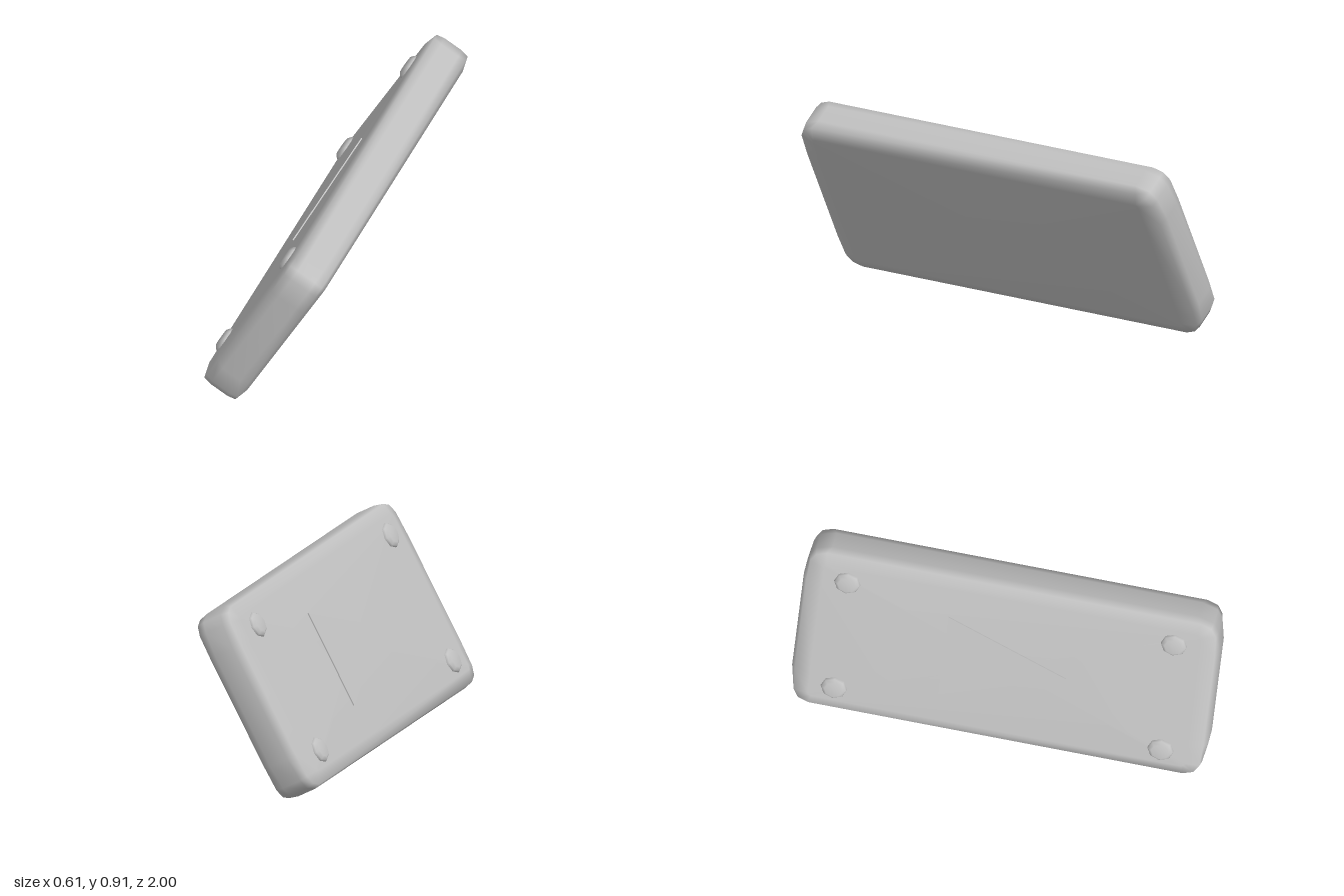
import * as THREE from 'three';

// Rounded slab: outlines stacked along y, each given by one mirrored quadrant of [x, z] points
function slabGeometry(levels) {
  const rings = levels.map(([y, q]) => {
    const r = [...q].reverse();
    return [
      ...q.map(([x, z]) => [x, y, z]),
      ...r.map(([x, z]) => [-x, y, z]),
      ...q.map(([x, z]) => [-x, y, -z]),
      ...r.map(([x, z]) => [x, y, -z]),
    ];
  });
  const n = rings[0].length;
  const last = rings.length - 1;
  const positions = rings.flat(2);
  const bottom = n * rings.length;
  const top = bottom + 1;
  positions.push(0, levels[0][0], 0, 0, levels[last][0], 0);

  const index = [];
  for (let i = 0; i < n; i++) {
    const k = (i + 1) % n;
    for (let j = 0; j < last; j++) {
      const a = j * n + i, b = j * n + k, c = a + n, d = b + n;
      index.push(a, c, b, b, c, d);
    }
    index.push(bottom, i, k, top, last * n + k, last * n + i);
  }
  const geometry = new THREE.BufferGeometry();
  geometry.setAttribute('position', new THREE.Float32BufferAttribute(positions, 3));
  geometry.setIndex(index);
  geometry.computeVertexNormals();
  return geometry;
}

export function createModel() {
  const model = new THREE.Group();
  model.name = 'tiltedSlab';
  const grey = new THREE.MeshStandardMaterial({ color: 0xc0c0c0 });
  grey.name = 'plain grey';

  // Everything is built lying flat, then leaned over
  const slab = new THREE.Group();
  slab.name = 'slab';
  slab.rotation.z = THREE.MathUtils.degToRad(61);
  slab.position.y = 0.455;
  model.add(slab);

  const add = (name, geometry) => {
    const mesh = new THREE.Mesh(geometry, grey);
    mesh.name = name;
    slab.add(mesh);
    return mesh;
  };

  // Body with softly bevelled edges
  const face = [[0.41, 0.89], [0.405, 0.9], [0.39, 0.905], [0.28, 0.905]];
  const bevel = [[0.47, 0.9], [0.45, 0.95], [0.405, 0.975], [0.28, 0.982]];
  const rim = [[0.482, 0.88], [0.457, 0.955], [0.41, 0.982], [0.29, 1]];
  add('body', slabGeometry([
    [-0.11, face], [-0.09, bevel], [-0.05, rim],
    [0.05, rim], [0.09, bevel], [0.11, face],
  ]));

  // Four domed feet near the corners
  const footProfile = [[0.063, 0.104], [0.063, 0.114], [0.058, 0.121], [0.043, 0.132], [0, 0.132]]
    .map(([r, y]) => new THREE.Vector2(r, y));
  const footGeometry = new THREE.LatheGeometry(footProfile, 8);
  for (const x of [-0.33, 0.33]) {
    for (const z of [-0.785, 0.785]) {
      add('foot', footGeometry).position.set(x, 0, z);
    }
  }

  // Thin raised triangle in the middle of the face
  const outline = new THREE.Shape([
    new THREE.Vector2(-0.245, -0.29),
    new THREE.Vector2(0.24, -0.29),
    new THREE.Vector2(-0.005, 0.3),
  ]);
  const triangle = add('trianglePlate',
    new THREE.ExtrudeGeometry(outline, { depth: 0.008, bevelEnabled: false }));
  triangle.rotation.x = Math.PI / 2;
  triangle.position.y = 0.116;

  return model;
}
